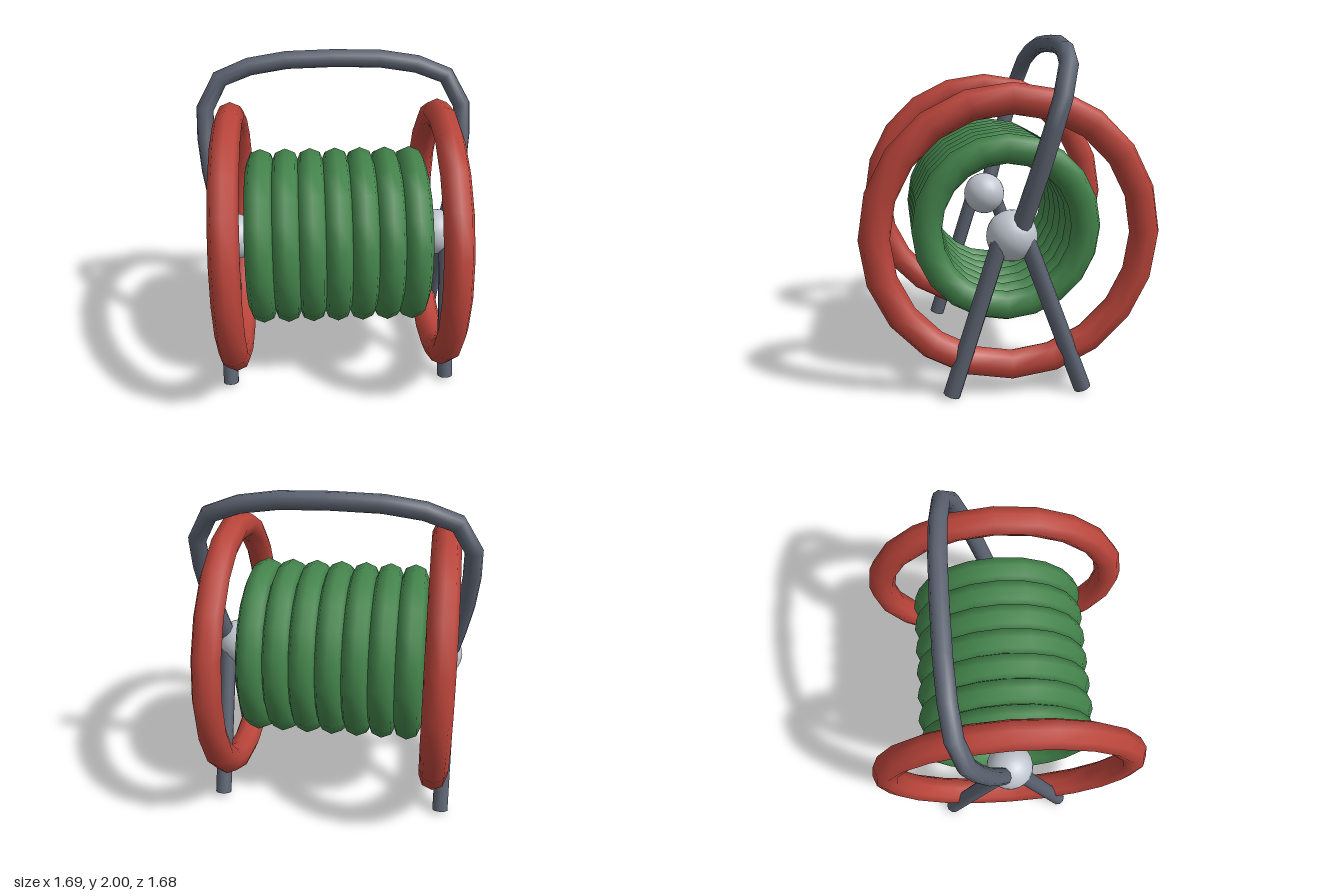
import * as THREE from 'three';

const HUB_Y = 0.907;

function material(name, color) {
  const m = new THREE.MeshStandardMaterial({ color });
  m.name = name;
  return m;
}

export function createModel() {
  const model = new THREE.Group();
  model.name = 'hoseReel';
  const green = material('hose green', 0x43834b);
  const red = material('reel red', 0xb9443a);
  const steel = material('frame steel', 0x5b6270);
  const silver = material('hub silver', 0xc0c6cf);

  function add(name, geometry, mat, x = 0, y = 0, z = 0) {
    const mesh = new THREE.Mesh(geometry, mat);
    mesh.name = name;
    mesh.position.set(x, y, z);
    model.add(mesh);
    return mesh;
  }

  // Straight round bar between two points
  function bar(name, a, b, radius) {
    const dir = b.clone().sub(a);
    const mid = a.clone().add(b).multiplyScalar(0.5);
    const mesh = add(name, new THREE.CylinderGeometry(radius, radius, dir.length(), 10), steel, mid.x, mid.y, mid.z);
    mesh.quaternion.setFromUnitVectors(new THREE.Vector3(0, 1, 0), dir.normalize());
  }

  // Coiled hose: seven touching loops
  const loop = new THREE.TorusGeometry(0.461, 0.086, 8, 20).rotateY(Math.PI / 2);
  for (let i = -3; i <= 3; i++) add('hoseLoop', loop, green, i * 0.1545, HUB_Y);

  // Side rims, hubs and splayed legs
  const rim = new THREE.TorusGeometry(0.752, 0.086, 8, 20).rotateY(Math.PI / 2);
  const hub = new THREE.SphereGeometry(0.143, 20, 14);
  for (const side of [-1, 1]) {
    add('rim', rim, red, side * 0.637, HUB_Y);
    add('hub', hub, silver, side * 0.635, HUB_Y);
    const x = side * 0.696;
    bar('frontLeg', new THREE.Vector3(x, 0.016, 0.346), new THREE.Vector3(x, 0.9, 0.07), 0.049);
    bar('rearLeg', new THREE.Vector3(x, 0.016, -0.4), new THREE.Vector3(x, 0.9, -0.07), 0.049);
  }

  // Bent carrying handle, leaning back in one sloping plane
  const half = [[0.695, 0.92], [0.735, 1.1], [0.772, 1.3], [0.79, 1.5], [0.787, 1.67],
    [0.69, 1.84], [0.51, 1.908], [0.285, 1.942]];
  const outline = [
    ...half.map(([x, y]) => [-x, y]),
    [0, 1.949],
    ...half.slice().reverse(),
  ];
  const path = new THREE.CatmullRomCurve3(
    outline.map(([x, y]) => new THREE.Vector3(x, y, -0.02 - 0.29 * (y - HUB_Y))));
  // Put one tube ring on every path point
  path.getPointAt = path.getPoint;
  path.getTangentAt = path.getTangent;
  add('handle', new THREE.TubeGeometry(path, outline.length - 1, 0.053, 10), steel);

  return model;
}
